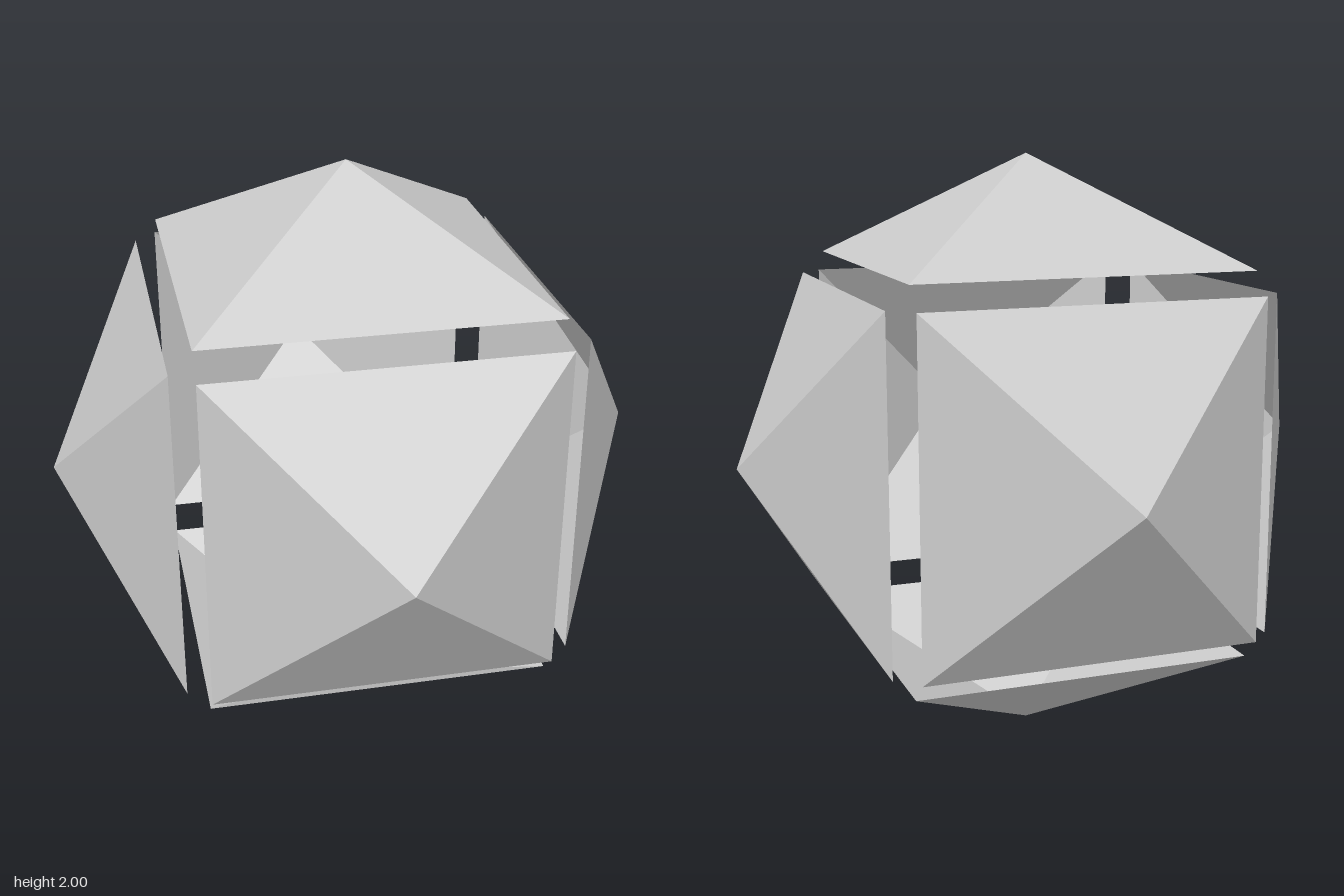
import * as THREE from 'three';

const HALF = 0.57;   // half the width of a pyramid's square rim
const RIM = 0.643;   // distance of the rim from the centre
const TIP = 1;       // distance of the tip from the centre

export function createModel() {
  const model = new THREE.Group();
  model.name = 'explodedPyramidCube';
  const material = new THREE.MeshStandardMaterial({
    color: 0xcccccc, flatShading: true, side: THREE.DoubleSide,
  });

  // Open four-sided shell pointing up, its rim parallel to x and z
  const shell = new THREE.ConeGeometry(HALF * Math.SQRT2, TIP - RIM, 4, 1, true);
  shell.rotateY(Math.PI / 4);
  shell.translate(0, (TIP + RIM) / 2, 0);

  // One shell on each side of the cube: [name, x turn, z turn]
  const q = Math.PI / 2;
  const sides = [
    ['topPyramid', 0, 0],
    ['bottomPyramid', 2 * q, 0],
    ['frontPyramid', q, 0],
    ['backPyramid', -q, 0],
    ['leftPyramid', 0, -q],
    ['rightPyramid', 0, q],
  ];
  for (const [name, rx, rz] of sides) {
    const mesh = new THREE.Mesh(shell, material);
    mesh.name = name;
    mesh.rotation.set(rx, 0, rz);
    mesh.position.y = 1;
    model.add(mesh);
  }
  return model;
}
